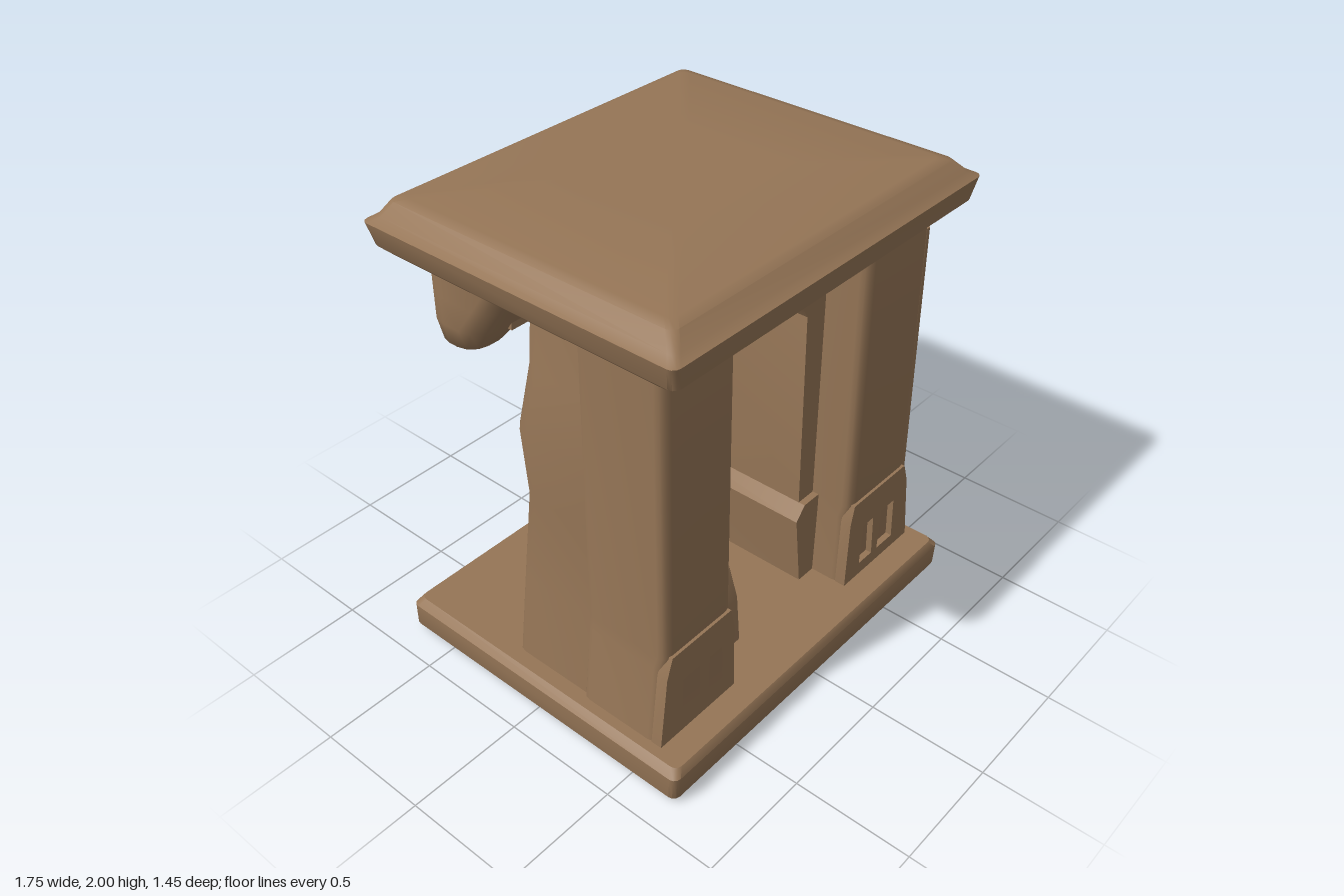
import * as THREE from 'three';
import { toCreasedNormals } from 'three/addons/utils/BufferGeometryUtils.js';

const stone = new THREE.MeshStandardMaterial({ color: 0x957556 });
stone.name = 'brown stone';

// Rounded rectangle footprint as [x, z] points
function rect(x0, x1, z0, z1, r = 0.03) {
  const pts = [];
  const corners = [[x1 - r, z1 - r], [x0 + r, z1 - r], [x0 + r, z0 + r], [x1 - r, z0 + r]];
  corners.forEach(([cx, cz], k) => {
    for (let i = 0; i <= 3; i++) {
      const a = (k + i / 3) * Math.PI / 2;
      pts.push([cx + r * Math.cos(a), cz + r * Math.sin(a)]);
    }
  });
  return pts;
}

// Solid through footprints listed from bottom to top: [y, points]
function loft(levels, crease = 0.7) {
  const rings = levels.map(([y, pts]) => {
    const v = pts.map(([x, z]) => new THREE.Vector2(x, z));
    if (THREE.ShapeUtils.area(v) < 0) v.reverse();
    return { y, v };
  });
  const n = rings[0].v.length, pos = [], idx = [];
  rings.forEach(({ y, v }) => v.forEach(p => pos.push(p.x, y, p.y)));
  for (let l = 0; l < rings.length - 1; l++) {
    for (let i = 0; i < n; i++) {
      const a = l * n + i, b = l * n + (i + 1) % n;
      idx.push(a, a + n, b + n, a, b + n, b);
    }
  }
  const top = (rings.length - 1) * n;
  THREE.ShapeUtils.triangulateShape(rings[0].v, []).forEach(([a, b, c]) => idx.push(a, b, c));
  THREE.ShapeUtils.triangulateShape(rings[rings.length - 1].v, [])
    .forEach(([a, b, c]) => idx.push(top + a, top + c, top + b));
  const g = new THREE.BufferGeometry();
  g.setAttribute('position', new THREE.Float32BufferAttribute(pos, 3));
  g.setIndex(idx);
  return toCreasedNormals(g, crease);
}

// Flat x-y outline extruded from z0 to z1
function slab(points, z0, z1, holes = []) {
  const toV = p => p.map(([x, y]) => new THREE.Vector2(x, y));
  const shape = new THREE.Shape(toV(points));
  holes.forEach(h => shape.holes.push(new THREE.Path(toV(h))));
  const g = new THREE.ExtrudeGeometry(shape, { depth: z1 - z0, bevelEnabled: false });
  g.translate(0, 0, z0);
  return toCreasedNormals(g, 0.6);
}

export function createModel() {
  const model = new THREE.Group();
  model.name = 'stoneShrine';
  const add = (name, geometry) => {
    const mesh = new THREE.Mesh(geometry, stone);
    mesh.name = name;
    model.add(mesh);
  };

  // Base slab with worn edges
  add('base', loft([
    [0, rect(-0.86, 0.86, -0.7, 0.71)],
    [0.03, rect(-0.88, 0.875, -0.72, 0.725)],
    [0.13, rect(-0.88, 0.875, -0.72, 0.73)],
    [0.16, rect(-0.85, 0.85, -0.7, 0.71)],
  ]));

  // Moulded roof with a slightly domed top
  add('roof', loft([
    [1.76, rect(-0.77, 0.76, -0.6, 0.61)],
    [1.78, rect(-0.8, 0.79, -0.65, 0.65)],
    [1.82, rect(-0.84, 0.83, -0.7, 0.7)],
    [1.91, rect(-0.86, 0.855, -0.72, 0.715)],
    [1.93, rect(-0.82, 0.82, -0.69, 0.68)],
    [1.98, rect(-0.78, 0.77, -0.66, 0.64)],
    [1.99, rect(-0.74, 0.73, -0.62, 0.6)],
    [2.0, rect(-0.3, 0.35, -0.3, 0.25)],
  ]));

  // Front pillars with flared feet and small sunken panels
  for (const s of [-1, 1]) {
    const side = s < 0 ? 'right' : 'left';
    const inner = s < 0 ? 0.39 : 0.36;
    const px = (a, b, z0, z1) => s < 0 ? rect(-b, -a, z0, z1, 0.04) : rect(a, b, z0, z1, 0.04);
    add(side + 'FrontPillar', loft([
      [0.14, px(inner - 0.01, 0.81, 0.19, 0.57)],
      [0.5, px(inner, 0.77, 0.19, 0.57)],
      [0.56, px(inner, 0.765, 0.19, 0.585)],
      [1.8, px(inner, 0.76, 0.19, 0.58)],
    ]));
    const m = pts => pts.map(([x, y]) => [s * x, y]);
    const panel = (a, b) => m([[a, 0.22], [b, 0.22], [b - 0.01, 0.42], [a + 0.01, 0.42]]);
    add(side + 'PillarFoot', slab(
      m([[inner - 0.01, 0.14], [0.81, 0.14], [0.77, 0.48], [0.74, 0.57], [inner + 0.02, 0.57], [inner, 0.48]]),
      0.55, 0.597, [panel(0.45, 0.54), panel(0.58, 0.69)]));
  }

  // Thin raised strip on the outer face of the front pillar
  add('pillarStrip', loft([
    [0.4, rect(0.74, 0.785, 0.5, 0.575, 0.01)],
    [1.68, rect(0.74, 0.77, 0.5, 0.575, 0.01)],
  ]));

  // Surviving back pillar
  add('leftBackPillar', loft([
    [0.14, rect(0.34, 0.81, -0.59, -0.1, 0.1)],
    [0.5, rect(0.36, 0.775, -0.57, -0.12, 0.1)],
    [1.8, rect(0.36, 0.765, -0.56, -0.12, 0.1)],
  ]));

  // Passage wall behind the niche, angled toward the back pillar
  const wall = x => [[x, 0.4], [0.64, 0.4], [0.64, -0.5], [0.38, -0.5], [x, -0.28]];
  add('leftWall', loft([[0.14, wall(0.27)], [0.55, wall(0.265)], [1.45, wall(0.248)], [1.8, wall(0.3)]]));
  const kerb = x => [[x, 0.43], [0.5, 0.43], [0.5, -0.5], [0.36, -0.5], [x, -0.36]];
  add('leftPlinth', loft([[0.14, kerb(0.26)], [0.5, kerb(0.215)], [0.56, kerb(0.265)]]));

  // Outer niche: solid below, sill, frame and lintel
  add('nicheBlock', loft([
    [0.14, rect(0.5, 0.77, -0.08, 0.25)], [0.38, rect(0.5, 0.74, -0.1, 0.25)],
  ]));
  add('nicheSill', loft([
    [0.37, rect(0.5, 0.765, -0.11, 0.205, 0.01)], [0.45, rect(0.5, 0.77, -0.115, 0.205, 0.01)],
    [0.465, rect(0.5, 0.74, -0.11, 0.205, 0.01)],
  ]));
  add('nicheFrame', loft([
    [0.45, rect(0.5, 0.745, -0.14, -0.06, 0.01)], [1.7, rect(0.5, 0.745, -0.14, -0.06, 0.01)],
  ]));
  add('nicheLintel', loft([
    [1.68, rect(0.5, 0.75, -0.15, 0.25, 0.01)], [1.8, rect(0.5, 0.75, -0.15, 0.25, 0.01)],
  ]));

  // Thick wall on the broken side, its outer face worn unevenly
  add('rightWall', loft([
    [0.14, rect(-0.79, -0.23, -0.19, 0.3, 0.05)],
    [0.55, rect(-0.76, -0.23, -0.17, 0.3, 0.06)],
    [0.95, rect(-0.74, -0.23, -0.14, 0.3, 0.07)],
    [1.25, rect(-0.76, -0.235, -0.15, 0.3, 0.08)],
    [1.5, rect(-0.72, -0.24, -0.12, 0.3, 0.08)],
    [1.8, rect(-0.69, -0.3, -0.12, 0.3, 0.08)],
  ]));
  add('rightWallFront', loft([
    [0.14, rect(-0.6, -0.23, 0.1, 0.42, 0.02)], [1.46, rect(-0.6, -0.23, 0.1, 0.4, 0.02)],
  ]));
  add('rightPlinth', loft([
    [0.14, rect(-0.5, -0.165, -0.17, 0.46, 0.02)],
    [0.38, rect(-0.5, -0.175, -0.16, 0.45, 0.02)],
    [0.53, rect(-0.5, -0.19, -0.15, 0.42, 0.02)],
    [0.57, rect(-0.5, -0.23, -0.13, 0.38, 0.02)],
  ]));

  // Vault over the passage, with a keystone
  add('vault', slab([
    [-0.45, 1.8], [-0.45, 1.45], [-0.235, 1.45], [-0.18, 1.57], [-0.1, 1.63], [0, 1.66],
    [0.08, 1.645], [0.17, 1.58], [0.25, 1.45], [0.45, 1.45], [0.45, 1.8],
  ], -0.13, 0.4));
  add('keystone', slab([[-0.08, 1.78], [-0.06, 1.69], [0.06, 1.69], [0.08, 1.78]], 0.36, 0.425));

  // Remains of the back arch
  add('backArch', slab([
    [0.42, 1.8], [0.42, 1.38], [0.36, 1.42], [0.31, 1.58], [0.2, 1.68], [0.05, 1.72],
    [-0.12, 1.69], [-0.28, 1.6], [-0.4, 1.52], [-0.6, 1.52], [-0.6, 1.8],
  ], -0.54, -0.28));

  // Broken stump of the missing pillar, hanging from the roof
  add('brokenStump', loft([
    [1.42, rect(-0.68, -0.58, -0.5, -0.4, 0.04)],
    [1.46, rect(-0.74, -0.53, -0.54, -0.34, 0.08)],
    [1.55, rect(-0.76, -0.44, -0.56, -0.28, 0.1)],
    [1.66, rect(-0.76, -0.36, -0.56, -0.2, 0.1)],
    [1.8, rect(-0.76, -0.3, -0.56, -0.1, 0.1)],
  ], 1.0));

  return model;
}
